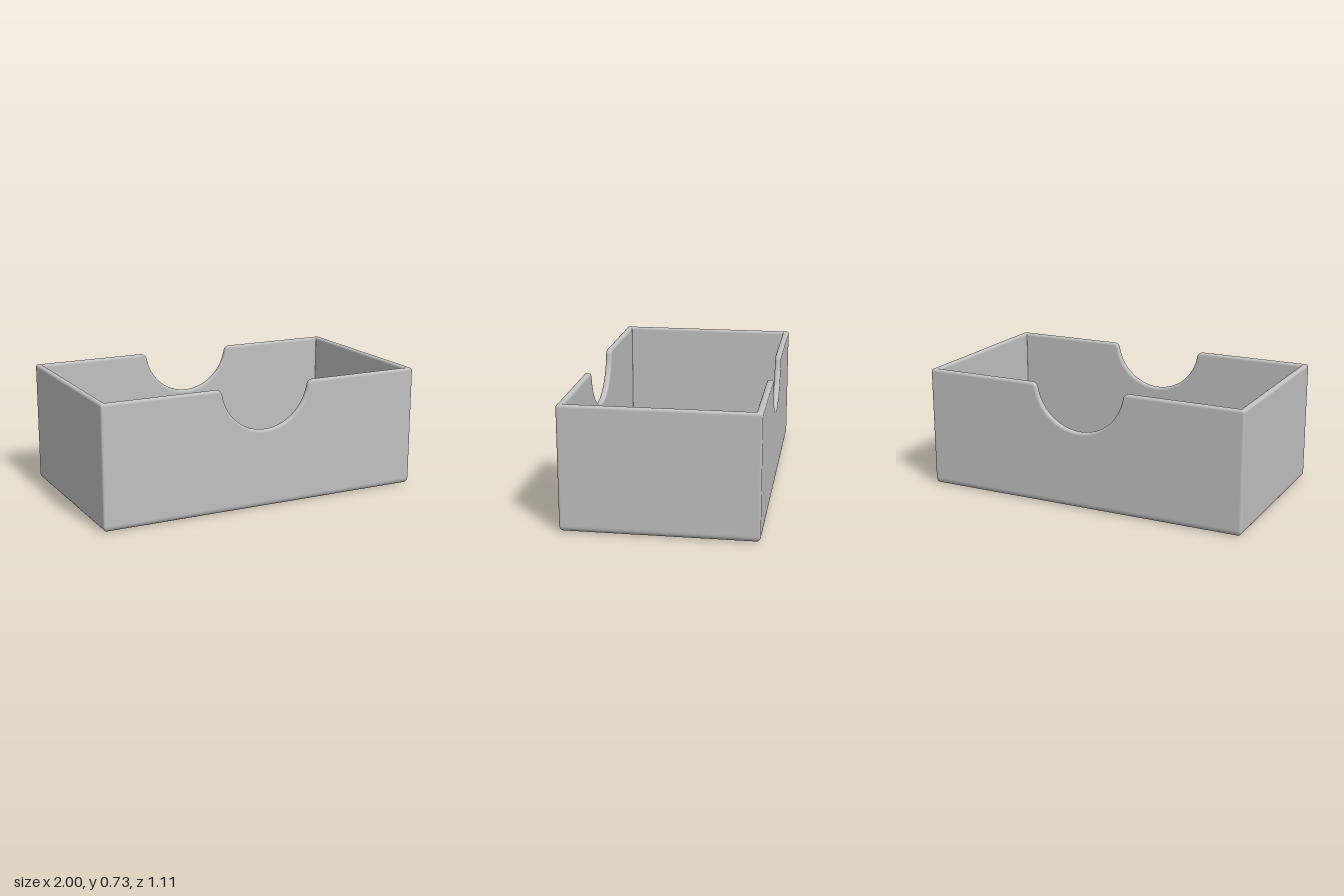
import * as THREE from 'three';
import { toCreasedNormals } from 'three/addons/utils/BufferGeometryUtils.js';

const HX = 1, HZ = 0.555, H = 0.727; // half width, half depth, height
const WALL = 0.037, CORNER = 0.012, FOOT = 0.035, RIM = 0.015;
const NOTCH = { y: 0.745, r: 0.28, fillet: 0.035 };

// Rim line of a notched wall, from +x to -x: x, y and the normal facing the open air
function notchLine() {
  const { y, r, fillet } = NOTCH;
  const cy = H - fillet, dy = y - cy;
  const cx = Math.sqrt((r + fillet) ** 2 - dy * dy);
  const tilt = Math.atan2(dy, cx);
  const side = [{ x: cx + 0.008, y: H, nx: 0, ny: 1 }];
  const n = 8, m = 40;
  for (let i = 0; i < n; i++) {
    const a = Math.PI / 2 + (Math.PI / 2 - tilt) * i / n;
    const nx = Math.cos(a), ny = Math.sin(a);
    side.push({ x: cx + fillet * nx, y: cy + fillet * ny, nx, ny });
  }
  const arc = [];
  for (let i = 0; i <= m; i++) {
    const a = -tilt - (Math.PI - 2 * tilt) * i / m;
    const c = Math.cos(a), s = Math.sin(a);
    arc.push({ x: r * c, y: y + r * s, nx: -c, ny: -s });
  }
  const mirrored = side.map(p => ({ ...p, x: -p.x, nx: -p.nx })).reverse();
  return [...side, ...arc, ...mirrored];
}

// Stations round the box: four corners with the notched walls between them
function stations() {
  const list = [], n = 4, line = notchLine();
  for (let q = 0; q < 4; q++) {
    for (let i = -1; i <= n + 1; i++) {
      const a = (q + Math.min(Math.max(i, 0), n) / n) * Math.PI / 2;
      const slide = i < 0 ? -0.006 : i > n ? 0.006 : 0; // keeps flat walls flat
      list.push({ q, a, slide });
    }
    if (q === 0) line.forEach(p => list.push({ p, sign: 1 }));
    if (q === 2) line.forEach(p => list.push({ p, sign: -1 }));
  }
  return list;
}

// Wall section: d is the inset; y is a fixed height, e a distance below the rim
function section() {
  const pts = [{ centre: true, y: 0 }, { d: FOOT + 0.008, y: 0 }];
  const n = 6;
  for (let i = 0; i <= n; i++) {
    const a = i / n * Math.PI / 2;
    pts.push({ d: FOOT * (1 - Math.sin(a)), y: FOOT * (1 - Math.cos(a)) });
  }
  pts.push({ d: 0, y: FOOT + 0.008 }, { d: 0, e: RIM + 0.005 });
  const rim = [];
  for (let i = 0; i <= n; i++) {
    const a = i / n * Math.PI / 2;
    rim.push({ d: RIM * (1 - Math.cos(a)), e: RIM * (1 - Math.sin(a)) });
  }
  pts.push(...rim, ...rim.map(p => ({ d: WALL - p.d, e: p.e })).reverse());
  pts.push({ d: WALL, e: RIM + 0.005 }, { d: WALL, y: WALL }, { centre: true, y: WALL });
  return pts;
}

function place(st, pt) {
  if (pt.centre) return [0, pt.y, 0];
  if (st.p) { // on the front or back wall
    const { p, sign } = st, rim = pt.e !== undefined;
    const x = rim ? p.x - p.nx * pt.e : p.x;
    const y = rim ? p.y - p.ny * pt.e : pt.y;
    return [sign * x, y, sign * (HZ - pt.d)];
  }
  const r = Math.max(CORNER - pt.d, 0.003);
  const sx = st.q === 0 || st.q === 3 ? 1 : -1, sz = st.q < 2 ? 1 : -1;
  const c = Math.cos(st.a), s = Math.sin(st.a);
  return [
    sx * (HX - pt.d - r) + r * c - s * st.slide,
    pt.e !== undefined ? H - pt.e : pt.y,
    sz * (HZ - pt.d - r) + r * s + c * st.slide,
  ];
}

function trayGeometry() {
  const ring = stations(), prof = section(), S = ring.length, P = prof.length;
  const pos = [], idx = [];
  ring.forEach(st => prof.forEach(pt => pos.push(...place(st, pt))));
  for (let i = 0; i < S; i++) {
    for (let j = 0; j < P - 1; j++) {
      const a = i * P + j, b = ((i + 1) % S) * P + j;
      if (!prof[j].centre) idx.push(a, a + 1, b);
      if (!prof[j + 1].centre) idx.push(b, a + 1, b + 1);
    }
  }
  const geo = new THREE.BufferGeometry();
  geo.setAttribute('position', new THREE.Float32BufferAttribute(pos, 3));
  geo.setIndex(idx);
  // Enlarged while normals are made so that the small roundings stay distinct
  geo.scale(100, 100, 100);
  const smooth = toCreasedNormals(geo, 0.7);
  smooth.scale(0.01, 0.01, 0.01);
  return smooth;
}

export function createModel() {
  const group = new THREE.Group();
  group.name = 'openTray';
  const grey = new THREE.MeshStandardMaterial({ color: 0xc0c0c0 });
  grey.name = 'lightGrey';
  const tray = new THREE.Mesh(trayGeometry(), grey);
  tray.name = 'notchedTray';
  group.add(tray);
  return group;
}
